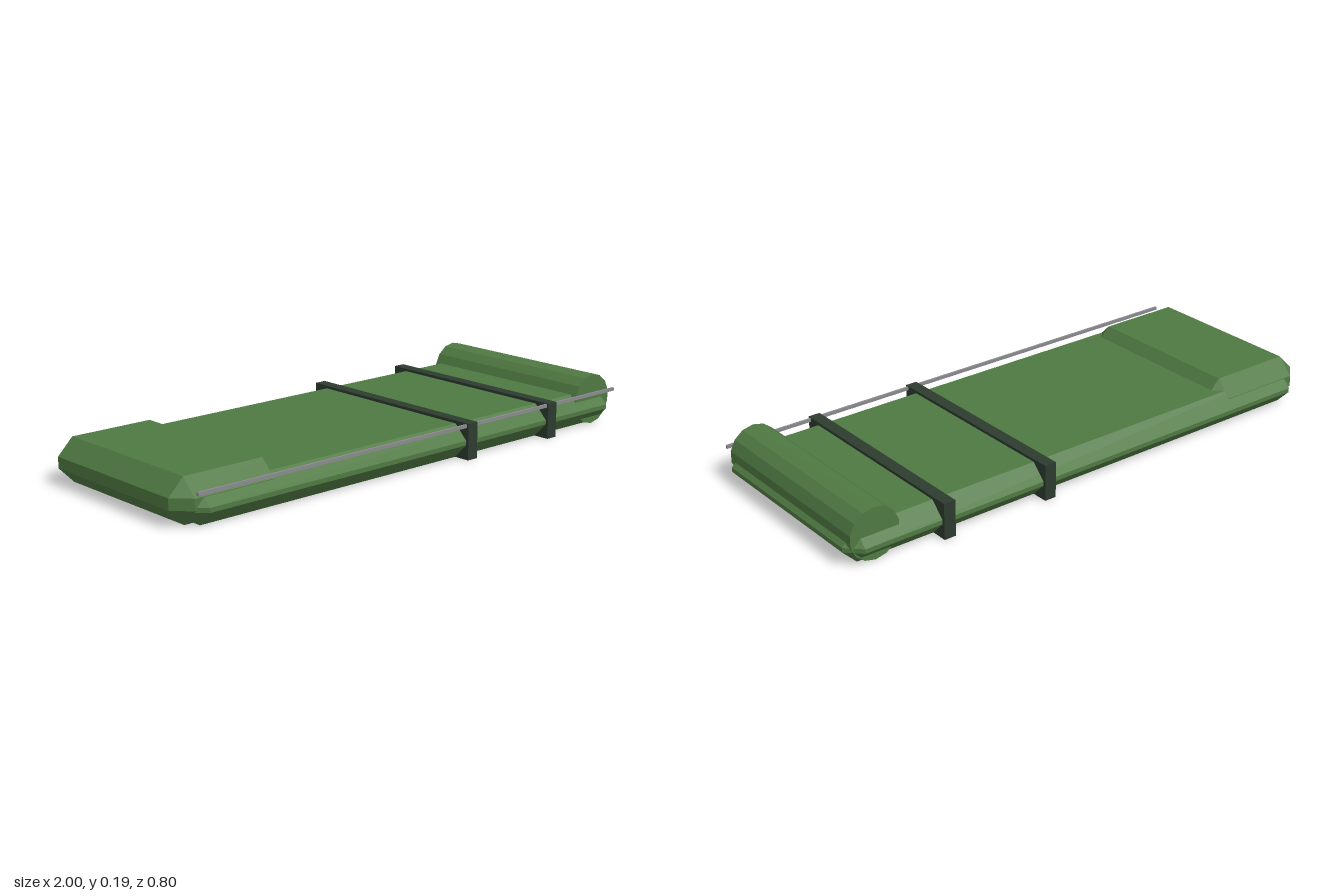
import * as THREE from 'three';
import { ConvexGeometry } from 'three/addons/geometries/ConvexGeometry.js';

// Box with every edge chamfered by b, spanning the given [min, max] ranges
function chamferedBox(xr, yr, zr, b) {
  const points = [];
  const ranges = [xr, yr, zr];
  for (let axis = 0; axis < 3; axis++) {
    for (let corner = 0; corner < 8; corner++) {
      const p = ranges.map((r, i) => {
        const inset = i === axis ? 0 : b;
        return (corner >> i) & 1 ? r[1] - inset : r[0] + inset;
      });
      points.push(new THREE.Vector3(...p));
    }
  }
  return new ConvexGeometry(points);
}

export function createModel() {
  const group = new THREE.Group();
  const material = (name, color) => {
    const m = new THREE.MeshStandardMaterial({ color, flatShading: true });
    m.name = name;
    return m;
  };
  const fabric = material('green fabric', 0x4f7942);
  const webbing = material('dark webbing', 0x2d3b2f);
  const metal = material('zipper grey', 0x8a8a8f);

  const add = (name, geometry, mat, x = 0, y = 0, z = 0) => {
    const mesh = new THREE.Mesh(geometry, mat);
    mesh.name = name;
    mesh.position.set(x, y, z);
    group.add(mesh);
    return mesh;
  };

  // Padded bag and the raised hood at its head end
  add('bagBody', chamferedBox([-0.96, 1], [0, 0.12], [-0.388, 0.388], 0.052), fabric);
  add('headPillow', chamferedBox([-1, -0.573], [0, 0.156], [-0.36, 0.36], 0.058), fabric);

  // Rolled foot end
  const roll = add('footRoll', new THREE.CylinderGeometry(0.093, 0.093, 0.724, 14), fabric, 0.895, 0.094, 0);
  roll.rotation.x = Math.PI / 2;

  // Compression straps
  for (const x of [0.225, 0.635]) {
    add('strap', new THREE.BoxGeometry(0.044, 0.13, 0.796), webbing, x, 0.065, 0);
  }

  // Zipper along the front edge
  add('zipper', new THREE.BoxGeometry(1.94, 0.012, 0.008), metal, 0.017, 0.121, 0.387);

  return group;
}
